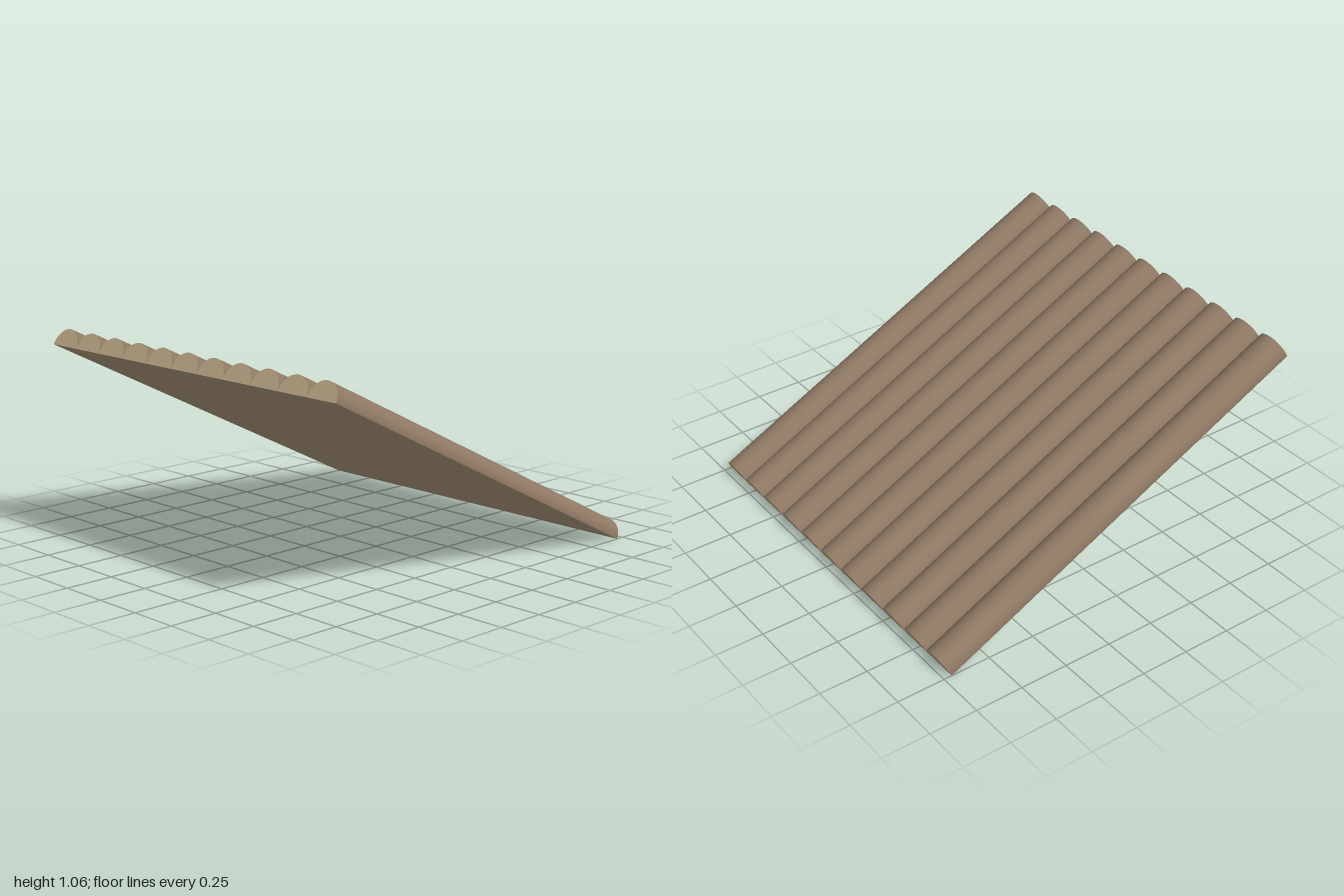
import * as THREE from 'three';

const COUNT = 11;        // half logs side by side
const PITCH = 2 / COUNT; // spacing
const RADIUS = 0.0906;
const LENGTH = 2.185;
const SLOPE = 0.4625;    // radians, front end raised

export function createModel() {
  const bark = new THREE.MeshStandardMaterial({ color: 0x8f7a64 });
  const wood = new THREE.MeshStandardMaterial({ color: 0xc9b491 });

  // Rounded bark side with half-disc cut ends, lying along z
  const halfLog = new THREE.CylinderGeometry(RADIUS, RADIUS, LENGTH, 24, 1, false, Math.PI / 2, Math.PI);
  halfLog.rotateX(Math.PI / 2);
  // Flat split face underneath
  const splitFace = new THREE.PlaneGeometry(RADIUS * 2, LENGTH);
  splitFace.rotateX(Math.PI / 2);

  const roof = new THREE.Group();
  roof.name = 'slopedLogPanel';
  for (let i = 0; i < COUNT; i++) {
    const log = new THREE.Group();
    log.name = `halfLog${i + 1}`;
    const round = new THREE.Mesh(halfLog, [bark, wood, wood]);
    round.name = 'roundSideAndEnds';
    const flat = new THREE.Mesh(splitFace, wood);
    flat.name = 'flatUnderside';
    log.add(round, flat);
    log.position.x = (i - (COUNT - 1) / 2) * PITCH;
    roof.add(log);
  }

  // Tilt the panel so its back edge rests on the ground
  roof.rotation.x = -SLOPE;
  roof.position.set(0, (LENGTH / 2) * Math.sin(SLOPE), (RADIUS / 2) * Math.sin(SLOPE));

  const model = new THREE.Group();
  model.name = 'logRoof';
  model.add(roof);
  return model;
}
